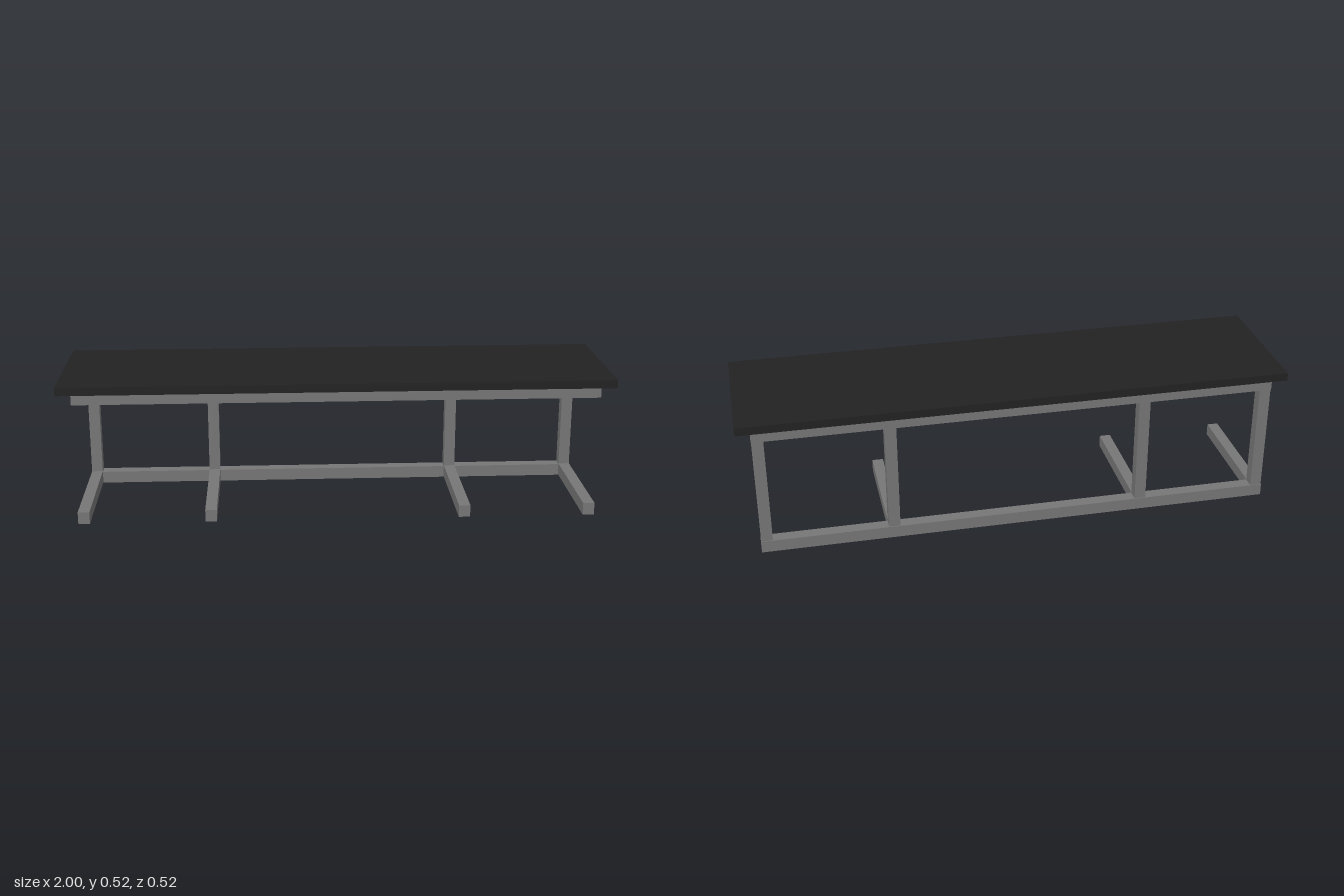
import * as THREE from 'three';

export function createModel() {
  const model = new THREE.Group();
  model.name = 'cantileverBench';

  const steel = new THREE.MeshStandardMaterial({ color: 0x777777 });
  const black = new THREE.MeshStandardMaterial({ color: 0x222222 });

  // Box given by its extents on each axis
  function bar(name, [x0, x1], [y0, y1], [z0, z1], material = steel) {
    const mesh = new THREE.Mesh(new THREE.BoxGeometry(x1 - x0, y1 - y0, z1 - z0), material);
    mesh.position.set((x0 + x1) / 2, (y0 + y1) / 2, (z0 + z1) / 2);
    mesh.name = name;
    model.add(mesh);
  }

  const tube = 0.042;
  const half = 0.948;
  const railY = [0.452, 0.493];

  // Seat slab
  bar('seat', [-1, 1], [0.493, 0.523], [-0.262, 0.262], black);

  // Rectangular frame under the seat
  bar('frontRail', [-half, half], railY, [0.198, 0.24]);
  bar('backRail', [-half, half], railY, [-0.245, -0.2]);
  for (const side of [-1, 1]) {
    const x = side * (half - tube / 2);
    bar(side > 0 ? 'leftRail' : 'rightRail', [x - tube / 2, x + tube / 2], railY, [-0.2, 0.198]);
  }

  // Floor rail along the back
  bar('floorRail', [-half, half], [0, 0.045], [-0.245, -0.2]);

  // Four back posts, each with a foot reaching forward
  for (const x of [-0.926, -0.465, 0.465, 0.926]) {
    const width = [x - tube / 2, x + tube / 2];
    bar('post', width, [0.045, 0.452], [-0.242, -0.2]);
    bar('foot', width, [0.003, 0.048], [-0.2, 0.244]);
  }

  return model;
}
